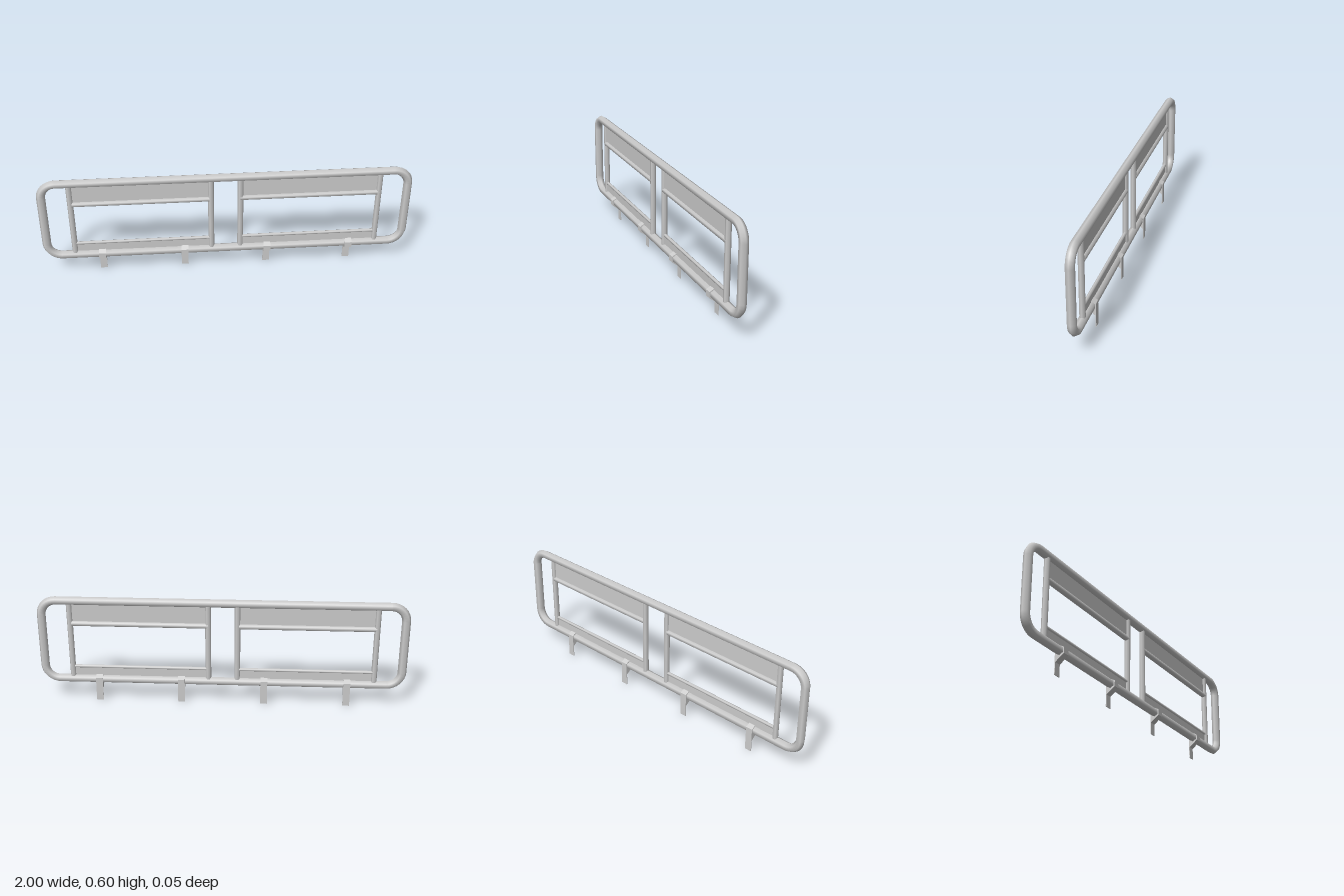
import * as THREE from 'three';

export function createModel() {
  const group = new THREE.Group();
  const material = new THREE.MeshStandardMaterial({ color: 0xcccccc });

  function add(name, geometry, x, y, z = 0) {
    const mesh = new THREE.Mesh(geometry, material);
    mesh.name = name;
    mesh.position.set(x, y, z);
    group.add(mesh);
    return mesh;
  }

  // six-sided bars with an edge pointing outward in the plane of the frame
  const upright = (r, length) =>
    new THREE.CylinderGeometry(r, r, length, 6).rotateY(Math.PI / 2);
  const crossbar = (r, length) => upright(r, length).rotateZ(Math.PI / 2);

  // outer frame: a rounded rectangle of tube
  const R = 0.0237, corner = 0.08, W = 0.976, bottom = 0.121, top = 0.581;
  const midY = (bottom + top) / 2;
  add('topRail', crossbar(R, 2 * (W - corner)), 0, top);
  add('bottomRail', crossbar(R, 2 * (W - corner)), 0, bottom);
  for (const s of [-1, 1]) add('sideRail', upright(R, top - bottom - 2 * corner), s * W, midY);
  const corners = [[1, 1], [-1, 1], [-1, -1], [1, -1]];
  corners.forEach(([sx, sy], i) => {
    const bend = new THREE.TorusGeometry(corner, R, 6, 8, Math.PI / 2).rotateZ(i * Math.PI / 2);
    add('frameCorner', bend, sx * (W - corner), sy > 0 ? top - corner : bottom + corner);
  });

  // two inner bays, each with posts, rails and thin panels
  for (const [left, right] of [[-0.827, -0.082], [0.076, 0.823]]) {
    const cx = (left + right) / 2, width = right - left;
    for (const x of [left, right]) add('post', upright(0.0158, top - bottom), x, midY);
    add('upperRail', crossbar(0.0158, width), cx, 0.45);
    add('lowerRail', crossbar(0.0095, width), cx, 0.195);
    add('upperPanel', new THREE.BoxGeometry(width, top - 0.45, 0.005), cx, (top + 0.45) / 2);
    add('lowerPanel', new THREE.BoxGeometry(width, 0.195 - bottom, 0.005), cx, (bottom + 0.195) / 2);
  }

  // mounting clips: a collar round the bottom rail with a tab hanging at the back
  const profile = new THREE.Shape([
    [0.027, 0.103], [0.027, 0.135], [0, 0.15], [-0.026, 0.135],
    [-0.026, 0], [-0.022, 0], [-0.022, 0.066],
  ].map(([z, y]) => new THREE.Vector2(z, y)));
  const clip = new THREE.ExtrudeGeometry(profile, { depth: 0.038, bevelEnabled: false })
    .translate(0, 0, -0.019).rotateY(-Math.PI / 2);
  for (const x of [-0.681, -0.229, 0.224, 0.677]) add('mountingClip', clip, x, 0);

  return group;
}
